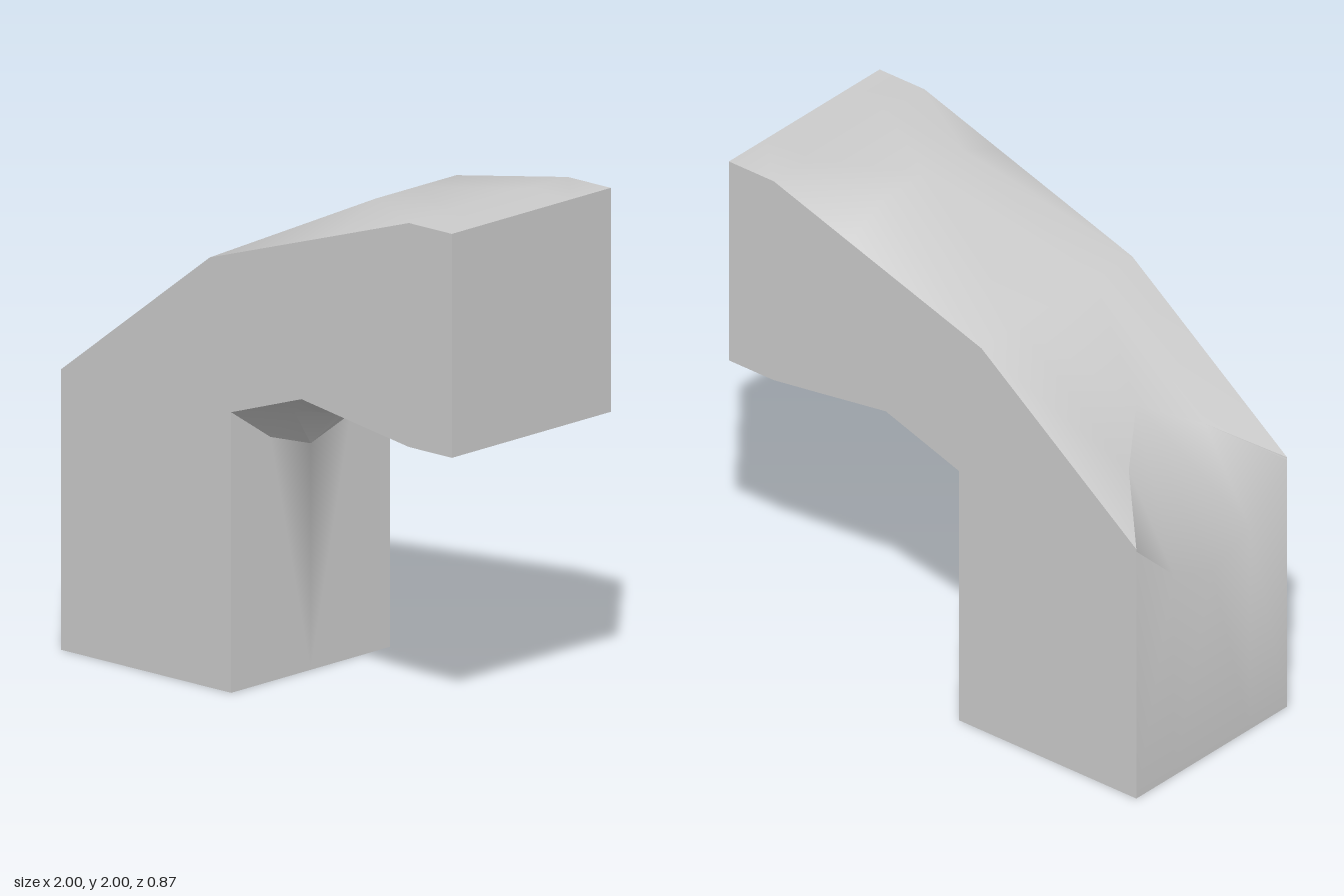
import * as THREE from 'three';
import { toCreasedNormals } from 'three/addons/utils/BufferGeometryUtils.js';

// Closed loop around the elbow: [edge, quarter, middle] sections of [x, y],
// running up the outer side, over the top, down the end and back along the inside.
const LOOP = [
  [[-1, 0], [-1, 0], [-1, 0]],
  [[-1, 1.08], [-1, 0.88], [-1, 0.79]],                // outer corner, lower rim
  [[-1, 1.09], [-0.78, 1.25], [-0.63, 1.38]],          // outer corner, upper rim
  [[-0.24, 1.67], [-0.24, 1.67], [-0.24, 1.67]],
  [[0.41, 1.88], [0.41, 1.98], [0.41, 1.98]],
  [[0.78, 2], [0.78, 2], [0.78, 2]],
  [[1, 2], [1, 2], [1, 2]],
  [[1, 1.13], [1, 1.13], [1, 1.13]],
  [[0.78, 1.13], [0.78, 1.13], [0.78, 1.13]],
  [[0.55, 1.163], [0.55, 1.13], [0.55, 1.13]],
  [[0.23, 1.21], [0.23, 1.11], [0.23, 1.09]],
  [[-0.13, 1.09], [-0.01, 1.075], [0.04, 1.07]],       // inner corner, upper rim
  [[-0.13, 1.08], [-0.13, 0.95], [-0.13, 0.88]],       // inner corner, lower rim
  [[-0.13, 0], [-0.13, 0], [-0.13, 0]],
];
const ROWS = [-0.435, -0.22, 0, 0.22, 0.435];
// Loop steps whose quads are split from the inner row at their start
const INNER_FIRST = [2, 4, 8, 9];

// Skin joining the five sections
function skinGeometry() {
  const n = LOOP.length;
  const pos = [];
  const index = [];
  ROWS.forEach((z, j) => {
    const section = 2 - Math.abs(j - 2);
    LOOP.forEach((p) => pos.push(p[section][0], p[section][1], z));
  });
  for (let j = 0; j < 4; j++) {
    for (let i = 0; i < n; i++) {
      const k = (i + 1) % n;
      const a = j * n + i, b = (j + 1) * n + i;
      const c = j * n + k, d = (j + 1) * n + k;
      // mirrored diagonals on the two halves
      const splitBC = INNER_FIRST.includes(i) === (j < 2);
      if (splitBC) index.push(a, b, c, b, d, c);
      else index.push(a, b, d, a, d, c);
    }
  }
  const g = new THREE.BufferGeometry();
  g.setAttribute('position', new THREE.Float32BufferAttribute(pos, 3));
  g.setIndex(index);
  return toCreasedNormals(g, THREE.MathUtils.degToRad(45));
}

export function createModel() {
  const group = new THREE.Group();
  group.name = 'elbowBlock';
  const grey = new THREE.MeshStandardMaterial({ color: 0xcccccc });
  grey.name = 'lightGrey';

  const skin = new THREE.Mesh(skinGeometry(), grey);
  skin.name = 'elbowSkin';
  group.add(skin);

  // Flat front and back faces
  const outline = new THREE.Shape(LOOP.map((p) => new THREE.Vector2(...p[0])));
  for (const side of [1, -1]) {
    const g = new THREE.ShapeGeometry(outline);
    if (side < 0) {
      // turn the back face around without mirroring its outline
      const idx = g.index.array;
      for (let i = 0; i < idx.length; i += 3) [idx[i], idx[i + 1]] = [idx[i + 1], idx[i]];
      g.computeVertexNormals();
    }
    const face = new THREE.Mesh(g, grey);
    face.name = side > 0 ? 'frontFace' : 'backFace';
    face.position.z = side * 0.435;
    group.add(face);
  }
  return group;
}
